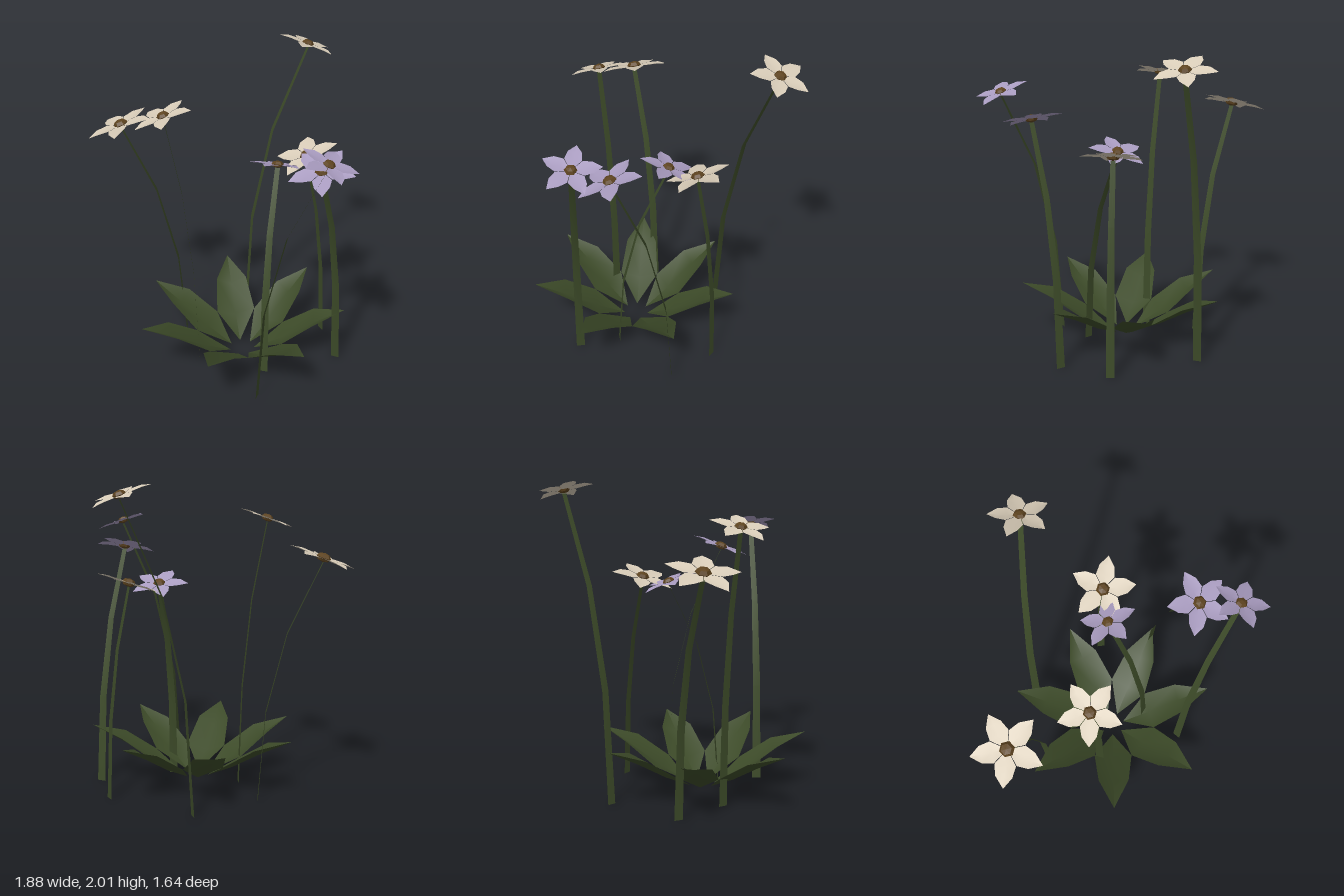
import * as THREE from 'three';

const material = (color, extra = {}) => new THREE.MeshStandardMaterial({ color, ...extra });
const DOUBLE = { side: THREE.DoubleSide };
const GREEN = material(0x3c4a28, DOUBLE);
const CREAM = material(0xd8ccb8, DOUBLE);
const LILAC = material(0xa99cc0, DOUBLE);
const BROWN = material(0x5e4420, { flatShading: true });

// Open sheet through rows of three points: one side, middle, other side
function sheet(rows) {
  const index = [];
  for (let r = 0; r < rows.length - 1; r++) {
    for (let c = 0; c < 2; c++) {
      const i = r * 3 + c;
      index.push(i, i + 1, i + 3, i + 1, i + 4, i + 3);
    }
  }
  const geometry = new THREE.BufferGeometry();
  geometry.setAttribute('position', new THREE.Float32BufferAttribute(rows.flat(2), 3));
  geometry.setIndex(index);
  geometry.computeVertexNormals();
  return geometry;
}

// Blade lying along +x from rows of [distance, half width, middle height, edge height]
const blade = (rows) => sheet(rows.map(([x, w, mid, edge]) => [[x, edge, -w], [x, mid, 0], [x, edge, w]]));

const LEAF = blade([
  [0.08, 0, 0.06, 0.06],
  [0.27, 0.13, 0.15, 0.185],
  [0.477, 0.103, 0.275, 0.32],
  [0.684, 0, 0.385, 0.385],
]);

const PETAL = blade([
  [0.05, 0.03, 0, 0],
  [0.4, 0.28, 0, 0.04],
  [0.7, 0.22, 0.01, 0.05],
  [1, 0, 0, 0],
]);

const HEART = new THREE.SphereGeometry(0.21, 6, 4).scale(1, 0.6, 1);

function mesh(name, geometry, mat) {
  const m = new THREE.Mesh(geometry, mat);
  m.name = name;
  return m;
}

// Flat tapering ribbon that rises upright, then bends toward the flower
function makeStem(base, head, side) {
  const knee = new THREE.Vector3(base.x, head.y * 0.6, base.z);
  const curve = new THREE.QuadraticBezierCurve3(base, knee, head);
  const rows = curve.getPoints(3).map((p, i) => {
    const half = THREE.MathUtils.lerp(0.028, 0.016, i / 3);
    const offset = side.clone().multiplyScalar(half);
    return [p.clone().sub(offset).toArray(), p.toArray(), p.clone().add(offset).toArray()];
  });
  return mesh('stem', sheet(rows), GREEN);
}

// Five petals round a faceted heart
function makeBlossom(radius, turn, petalMaterial) {
  const blossom = new THREE.Group();
  blossom.name = 'blossom';
  for (let i = 0; i < 5; i++) {
    const petal = mesh('petal', PETAL, petalMaterial);
    petal.rotation.y = -THREE.MathUtils.degToRad(turn + i * 72);
    blossom.add(petal);
  }
  const heart = mesh('flowerCentre', HEART, BROWN);
  heart.position.y = 0.03;
  blossom.add(heart);
  blossom.scale.setScalar(radius);
  return blossom;
}

// Base x, z; head x, y, z; blossom radius; turn in degrees; petal material
const FLOWERS = [
  [-0.485, -0.22, -0.36, 1.945, -0.64, 0.19, -93, CREAM],
  [0.065, -0.48, 0.05, 1.375, -0.33, 0.21, 5, CREAM],
  [0.24, 0.14, 0.03, 1.36, -0.115, 0.185, -9, LILAC],
  [0.385, -0.35, 0.57, 1.545, -0.035, 0.205, -33, LILAC],
  [0.435, 0.33, 0.775, 1.695, 0.085, 0.18, 14, LILAC],
  [-0.495, 0.28, -0.72, 1.545, 0.575, 0.225, -33, CREAM],
  [-0.15, 0.395, -0.23, 1.755, 0.54, 0.19, -38, CREAM],
];

export function createModel() {
  const model = new THREE.Group();
  model.name = 'floweringPlant';

  // Rosette of seven leaves
  const rosette = new THREE.Group();
  rosette.name = 'leafRosette';
  rosette.position.z = 0.15;
  for (let i = 0; i < 7; i++) {
    const leaf = mesh('leaf', LEAF, GREEN);
    leaf.rotation.y = (i * Math.PI * 2) / 7;
    rosette.add(leaf);
  }
  model.add(rosette);

  // Flowers, each tilted the way its stem leans
  const up = new THREE.Vector3(0, 1, 0);
  for (const [bx, bz, hx, hy, hz, radius, turn, petals] of FLOWERS) {
    const base = new THREE.Vector3(bx, 0, bz);
    const head = new THREE.Vector3(hx, hy, hz);
    const lean = new THREE.Vector3(hx - bx, 0, hz - bz).normalize();
    const side = new THREE.Vector3().crossVectors(up, lean);
    const flower = new THREE.Group();
    flower.name = 'flower';
    const blossom = makeBlossom(radius, turn, petals);
    blossom.position.copy(head);
    blossom.quaternion.setFromAxisAngle(side, 0.35);
    flower.add(makeStem(base, head.clone().setY(hy - 0.02), side), blossom);
    model.add(flower);
  }
  return model;
}
